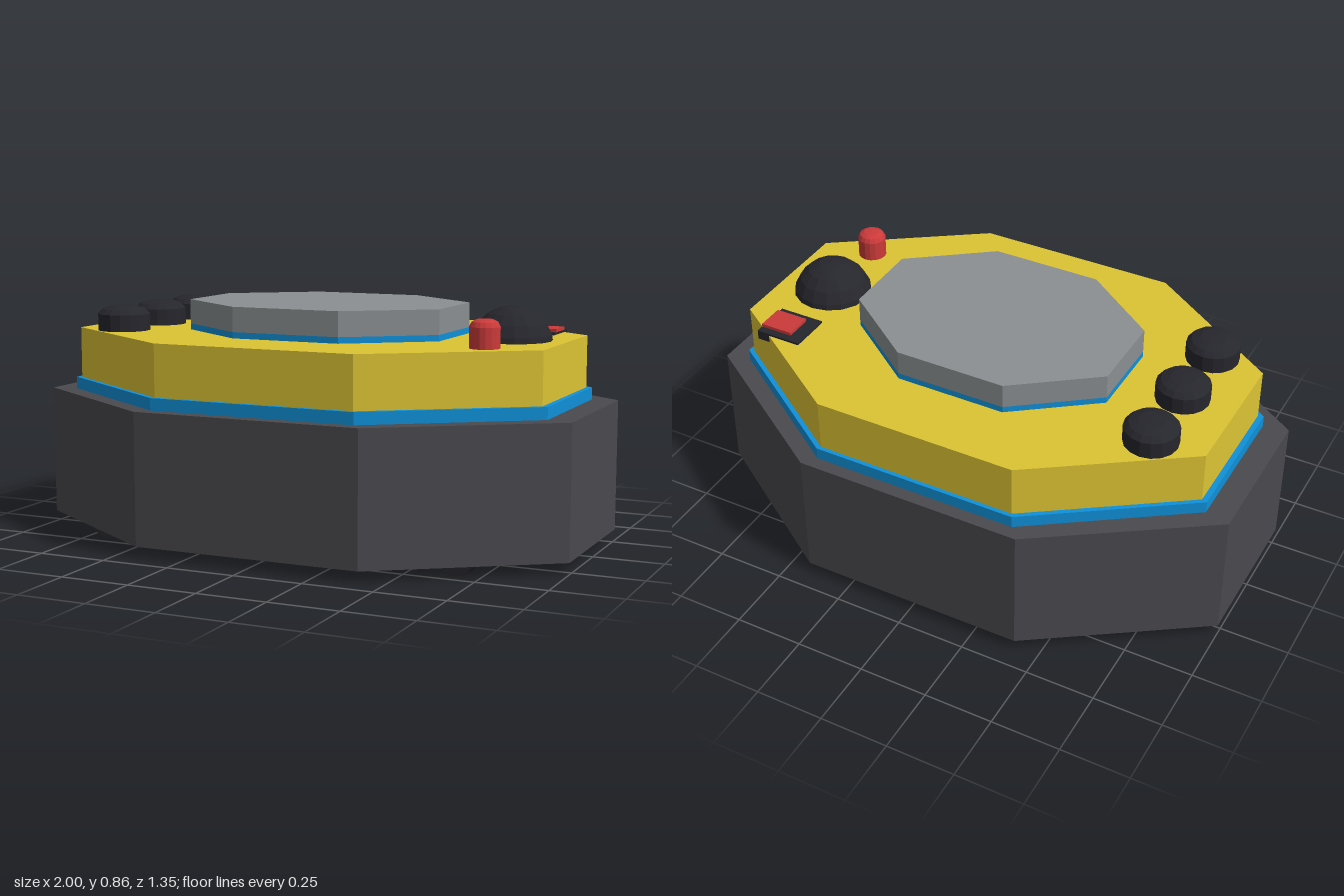
import * as THREE from 'three';

const paint = (color) => new THREE.MeshStandardMaterial({ color, flatShading: true });

export function createModel() {
  const model = new THREE.Group();
  const charcoal = paint(0x4a494e), blue = paint(0x1090d8), yellow = paint(0xdcc434);
  const grey = paint(0x8b8f92), black = paint(0x26262d), red = paint(0xcc3a3a);

  function add(name, geometry, material, x = 0, y = 0, z = 0) {
    const mesh = new THREE.Mesh(geometry, material);
    mesh.name = name;
    mesh.position.set(x, y, z);
    model.add(mesh);
    return mesh;
  }

  // Stretched octagonal slab, sized by its half widths
  function slab(name, halfX, halfZ, bottom, top, material) {
    const r = 1 / Math.cos(Math.PI / 8);
    const g = new THREE.CylinderGeometry(r, r, top - bottom, 8, 1, false, Math.PI / 8);
    g.scale(halfX, 1, halfZ);
    add(name, g, material, 0, (bottom + top) / 2, 0);
  }

  // Turned part from [radius, height] pairs
  const turned = (points, sides) =>
    new THREE.LatheGeometry(points.map(([r, y]) => new THREE.Vector2(r, y)), sides);

  // Stacked housing
  slab('base', 1, 0.675, 0.04, 0.507, charcoal);
  slab('lowerTrim', 0.91, 0.627, 0.507, 0.55, blue);
  slab('body', 0.89, 0.612, 0.55, 0.735, yellow);
  slab('screenTrim', 0.485, 0.36, 0.735, 0.757, blue);
  slab('screenPlate', 0.485, 0.36, 0.757, 0.845, grey);

  // Three knobs with slightly domed tops
  for (const z of [-0.264, -0.002, 0.26]) {
    add('knob', turned([[0.095, -0.02], [0.095, 0.06], [0.078, 0.077], [0.045, 0.088], [0, 0.091]], 16),
      black, -0.7, 0.735, z);
  }

  // Half-sunk ball
  add('trackball', new THREE.SphereGeometry(0.145, 16, 10), black, 0.695, 0.71, 0);

  // Push button
  add('button', turned([[0.052, -0.02], [0.052, 0.072], [0.044, 0.088], [0.028, 0.096], [0, 0.098]], 16),
    red, 0.695, 0.735, 0.278);

  // Rocker switch in its housing
  add('switchHousing', new THREE.BoxGeometry(0.17, 0.035, 0.155), black, 0.698, 0.7255, -0.282);
  add('switchRocker', new THREE.BoxGeometry(0.12, 0.025, 0.1), red, 0.722, 0.742, -0.282);

  // Four round feet lying on their sides
  const footShape = new THREE.CylinderGeometry(0.073, 0.073, 0.07, 12).rotateX(Math.PI / 2);
  for (const x of [-0.665, 0.665]) {
    for (const z of [-0.42, 0.42]) add('foot', footShape, black, x, 0.073, z);
  }
  return model;
}
